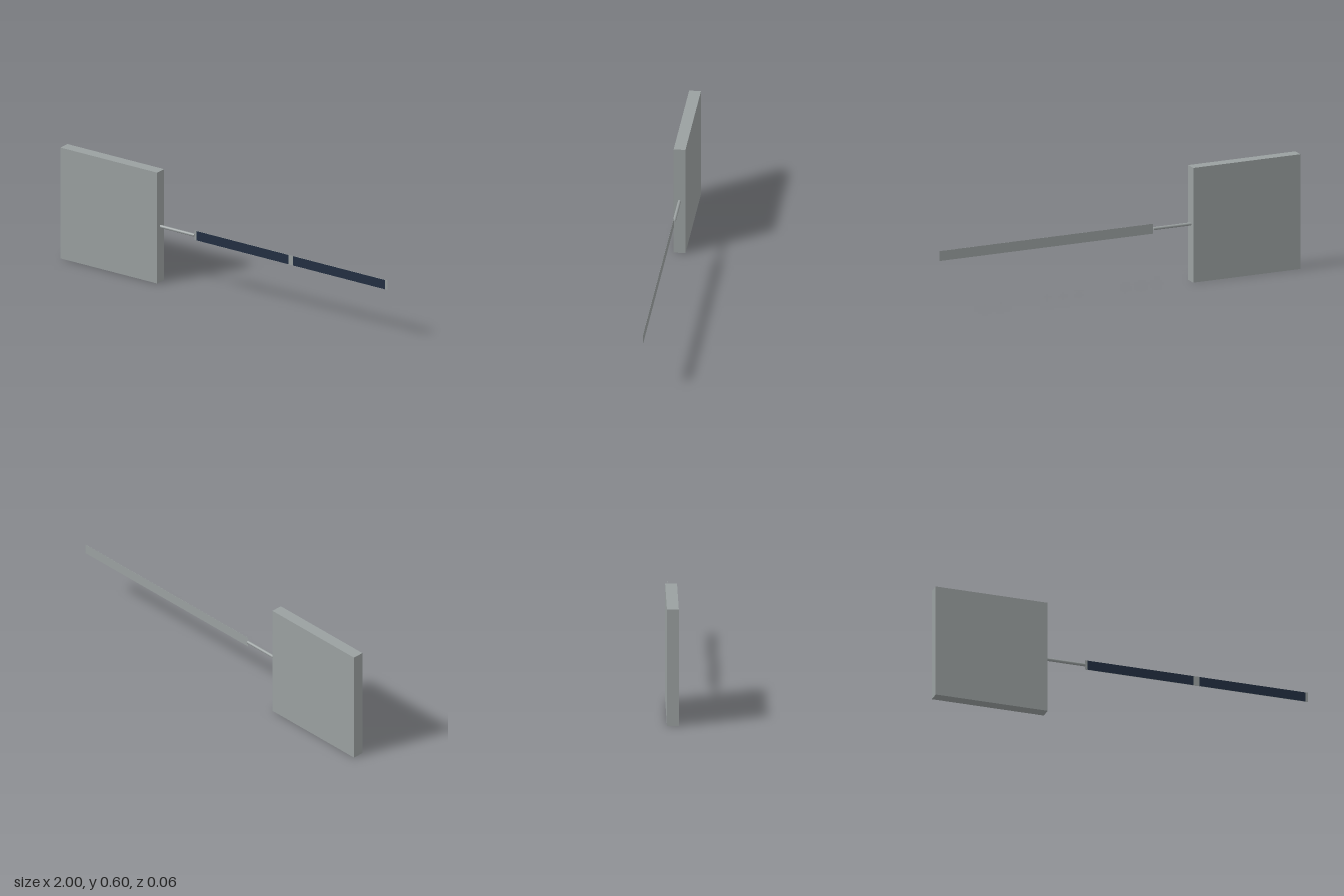
import * as THREE from 'three';

export function createModel() {
  const model = new THREE.Group();
  model.name = 'satellite';
  const grey = new THREE.MeshStandardMaterial({ color: 0x9aa0a0 });
  grey.name = 'body grey';
  const navy = new THREE.MeshStandardMaterial({ color: 0x222f42 });
  navy.name = 'solar cell navy';
  const midY = 0.301;

  const add = (name, geometry, material, x, y = midY, z = 0) => {
    const mesh = new THREE.Mesh(geometry, material);
    mesh.name = name;
    mesh.position.set(x, y, z);
    model.add(mesh);
    return mesh;
  };

  // Flat square body
  add('body', new THREE.BoxGeometry(0.598, 0.602, 0.06), grey, -0.701);

  // Round boom joining the body to the wing
  const boom = new THREE.CylinderGeometry(0.008, 0.008, 0.212, 24).rotateZ(Math.PI / 2);
  add('boom', boom, grey, -0.298);

  // Very thin wing backing
  add('wingPanel', new THREE.BoxGeometry(1.192, 0.052, 0.0006), grey, 0.404);

  // Two dark cell strips on the front face only
  for (const [name, x] of [['innerCells', 0.104], ['outerCells', 0.702]]) {
    add(name, new THREE.PlaneGeometry(0.568, 0.0505), navy, x, midY, 0.0012);
  }
  return model;
}
